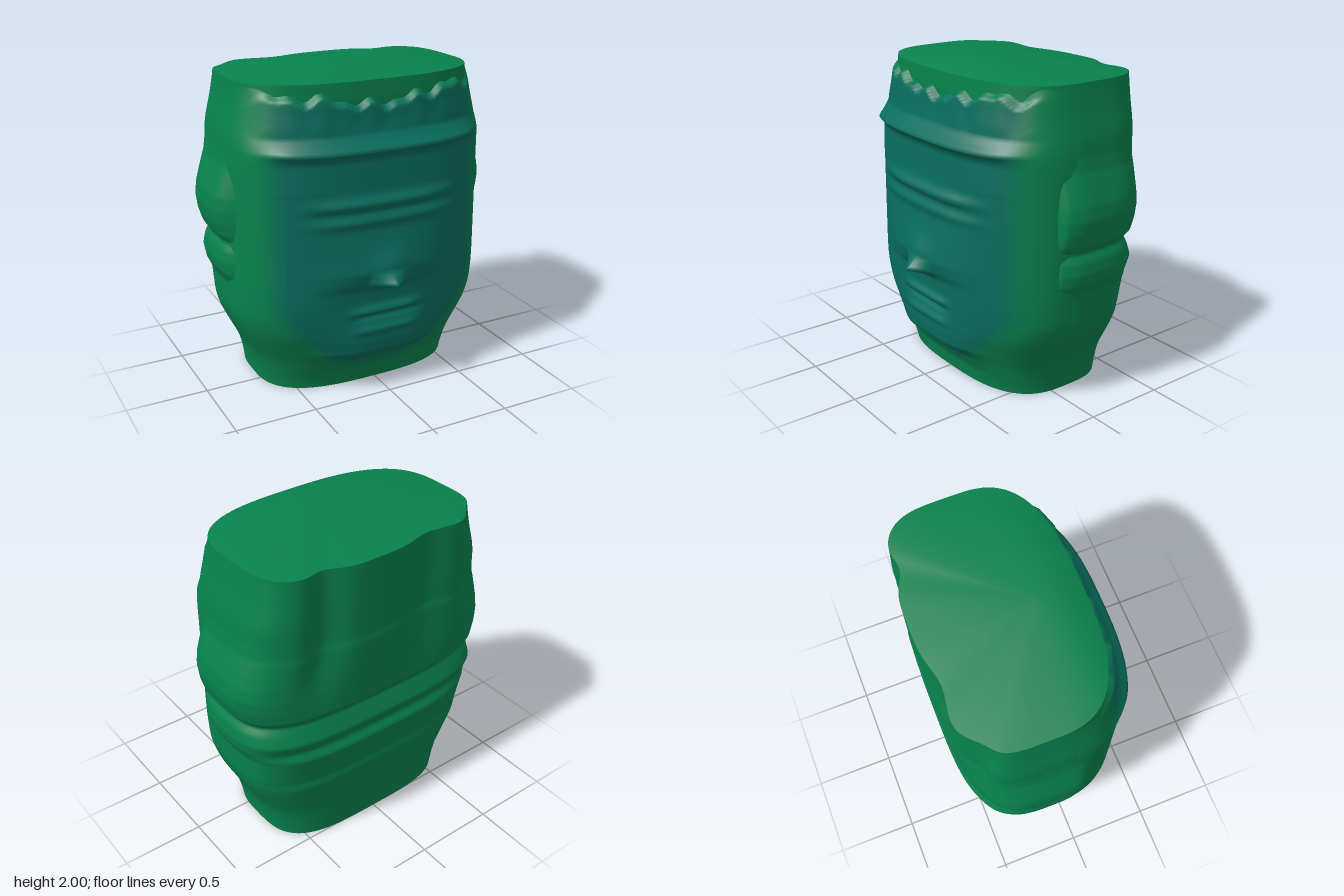
import * as THREE from 'three';

// Profiles: height, value pairs
const FRONT = [0, .30, .1, .32, .2, .38, .27, .465, .35, .475, .6, .465, .68, .47, .73, .495, .8, .51, .95, .49, 1.05, .475, 1.2, .475,
  1.25, .465, 1.47, .455, 1.5, .47, 1.53, .505, 1.57, .455, 1.61, .42, 1.72, .405, 1.78, .40, 1.81, .34, 1.9, .33];
const JAW = [0, .30, .2, .37, .4, .44, .6, .465, 1.4, .46, 1.53, .475, 1.61, .42, 1.72, .405, 1.78, .39, 1.9, .345];
const SKULL_FRONT = [0, .285, .2, .3, 1.8, .355, 1.9, .35];
const BACK = [0, .51, .2, .525, .45, .56, .5, .555, .62, .58, .7, .6, .755, .57, .83, .6, .95, .555, 1, .595, 1.2, .6,
  1.4, .605, 1.44, .6, 1.9, .6];
const WIDTH = [0, .64, .1, .655, .2, .68, .3, .73, .4, .78, .5, .815, .7, .825, 1.42, .825, 1.5, .82, 1.6, .81, 1.75, .775,
  1.87, .755, 1.9, .75];
const EAR = [0, 0, .69, 0, .76, .035, .83, .045, .9, .035, .95, .01, 1, .045, 1.08, .07, 1.16, .08, 1.24, .07, 1.32, .045,
  1.42, .01, 1.5, 0, 1.9, 0];

function sample(table, y) {
  for (let i = 2; i < table.length; i += 2) {
    if (y <= table[i]) {
      const t = Math.max(0, (y - table[i - 2]) / (table[i] - table[i - 2]));
      return THREE.MathUtils.lerp(table[i - 1], table[i + 1], t);
    }
  }
  return table[table.length - 1];
}

// Profile with its corners rounded off
const soft = (table, y) => (sample(table, y - .04) + 2 * sample(table, y) + sample(table, y + .04)) / 4;
const bump = (d, size) => Math.exp(-(d * d) / (size * size));
const { smoothstep: smooth, lerp } = THREE.MathUtils;
const COLS = 200, ROWS = 140, TOP = 1.9, MID = -.1, SHADES = 6;

// Facial relief added to the front surface
function relief(x, y) {
  const noseY = y < .735 ? smooth(y, .67, .735) : Math.max(0, 1 - (y - .735) / .07);
  let z = .105 * noseY * Math.max(0, 1 - Math.abs(x) / .14);
  z += .03 * bump(x, .12) * bump(y - .83, .09);
  const mouth = 1 - smooth(Math.abs(x), .12, .28);
  z += mouth * (.022 * bump(y - .545, .025) - .018 * bump(y - .505, .02) + .018 * bump(y - .42, .025));
  const eyes = 1 - smooth(Math.abs(x), .25, .6);
  z += eyes * (.022 * bump(y - 1.22, .035) - .01 * bump(y - 1.17, .025) + .012 * bump(y - 1.11, .025));
  return z;
}

// Vertical grooves down the upper back
function grooves(x, y) {
  const depth = .055 * bump(x - .43, .11) + .05 * bump(x + .28, .16) + .06 * bump(x + .66, .09);
  return depth * smooth(y, .95, 1.5);
}

// Superellipse radius
const radius = (c, s, n) => Math.pow(Math.abs(c) ** n + Math.abs(s) ** n, -1 / n);

// Skull wall: plain front, eared sides and grooved back
function skullPoint(u, y) {
  const a = u * Math.PI * 2, c = Math.cos(a), s = Math.sin(a), front = s > 0;
  const r = radius(c, s, front ? 2.8 : lerp(3.5, 4.2, smooth(y, 1.2, 1.7)));
  const inset = front ? .01 * smooth(s, .2, .5) * (1 - smooth(y, 1.8, 1.9)) : 0;
  let x = r * c * (soft(WIDTH, y) - inset);
  let z = MID + r * s * (front ? sample(SKULL_FRONT, y) - MID : sample(BACK, y) + MID);
  if (!front) z += grooves(x, y) * smooth(-s, .2, .5);
  // Ears: stepped at the front on the left, blended on the right
  const mask = x > 0 ? 1 - smooth(z, .1, .15) : 1 - smooth(z, .02, .25);
  x += Math.sign(x) * sample(EAR, y) * mask * Math.min(1, Math.abs(c) * 1.3);
  return [x - .01, y, z];
}

// Face mask standing in front of the skull, from side to side
function facePoint(u, y) {
  const a = lerp(.2, Math.PI - .2, u), c = Math.cos(a), s = Math.sin(a);
  const r = radius(c, s, 2.8);
  const x = r * c * soft(WIDTH, y);
  // Ragged hairline: shift the forehead profile by a wave across the face
  const rag = smooth(y, 1.6, 1.68) * (1 - smooth(y, 1.84, 1.9));
  const yy = y + rag * (.018 * Math.sin(x * 23) + .014 * Math.sin(x * 41 + 1) + .03 * Math.cos(x * 6));
  // The chin step and brow fade out towards the sides
  const low = y < 1.3;
  const side = smooth(Math.abs(x), low ? .15 : .55, low ? .55 : .78);
  const depth = lerp(sample(FRONT, yy), soft(JAW, yy), side) - MID;
  return [x - .01, y, MID + r * s * depth + relief(x, y) * smooth(s, .3, .8)];
}

// How strongly the face colour shows, 0 to 1
function faceTint([x, y]) {
  const half = .74 * Math.sqrt(Math.min(1, Math.max(0, (y - .08) / .5)));
  return (1 - smooth(Math.abs(x), half - .16, half)) * smooth(y, .08, .22) * (1 - smooth(y, 1.74, 1.86));
}

// Surface over a grid, split into panels that share their normals
function makePanels(point, height, count, pick) {
  const positions = [], all = [], panels = Array.from({ length: count }, () => []);
  for (let j = 0; j <= ROWS; j++) {
    for (let i = 0; i <= COLS; i++) positions.push(...point(i / COLS, j / ROWS * height));
  }
  for (let j = 0; j < ROWS; j++) {
    for (let i = 0; i < COLS; i++) {
      const a = j * (COLS + 1) + i, b = a + 1, c = a + COLS + 1, d = c + 1;
      const tris = [a, c, b, b, c, d];
      panels[pick(positions.slice(a * 3, a * 3 + 3))].push(...tris);
      all.push(...tris);
    }
  }
  const whole = new THREE.BufferGeometry();
  whole.setAttribute('position', new THREE.Float32BufferAttribute(positions, 3));
  whole.setIndex(all);
  whole.computeVertexNormals();
  return panels.map(index => {
    const g = whole.clone();
    g.setIndex(index);
    return g;
  });
}

// Shallow lid rising to one point
function makeLid() {
  const positions = [-.05, 2, .08], index = [];
  for (let i = 0; i < COLS; i++) {
    positions.push(...skullPoint(i / COLS, TOP));
    index.push(0, 1 + (i + 1) % COLS, 1 + i);
  }
  const g = new THREE.BufferGeometry();
  g.setAttribute('position', new THREE.Float32BufferAttribute(positions, 3));
  g.setIndex(index);
  g.computeVertexNormals();
  return g;
}

export function createModel() {
  const group = new THREE.Group();
  group.name = 'head';
  const green = new THREE.Color(0x08824e), teal = new THREE.Color(0x086e5e);
  const add = (name, geometry, color) => {
    const mesh = new THREE.Mesh(geometry, new THREE.MeshStandardMaterial({ color, side: THREE.DoubleSide }));
    mesh.name = name;
    group.add(mesh);
  };
  // Skull is open at the neck
  add('skull', makePanels(skullPoint, TOP, 1, () => 0)[0], green);
  add('topOfHead', makeLid(), green);
  // Face mask in graded shades from edge to centre
  makePanels(facePoint, 1.88, SHADES, p => Math.round(faceTint(p) * (SHADES - 1))).forEach((geometry, i) => {
    add(i === SHADES - 1 ? 'face' : 'faceEdge' + i, geometry, green.clone().lerp(teal, i / (SHADES - 1)));
  });
  return group;
}
